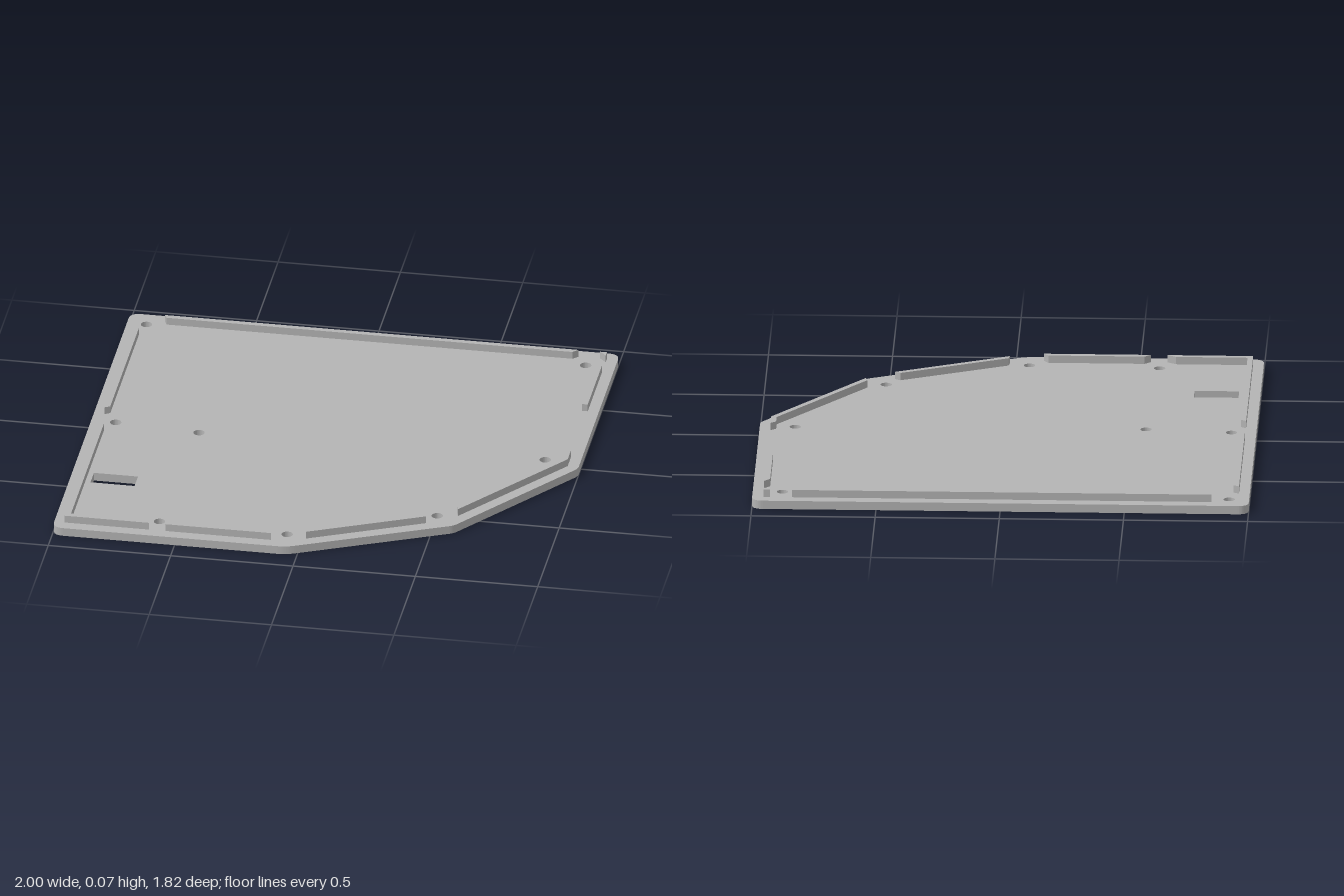
import * as THREE from 'three';

const PLATE_TOP = 0.035;
const RIB_TOP = 0.066;

// Plan shape from [x, z, cornerRadius] points
function roundedShape(points) {
  const shape = new THREE.Shape();
  const n = points.length;
  points.forEach(([x, z, r], i) => {
    const corner = new THREE.Vector2(x, z);
    const toward = (j) => {
      const other = new THREE.Vector2(points[j][0], points[j][1]);
      return other.sub(corner).normalize().multiplyScalar(r).add(corner);
    };
    const a = toward((i + n - 1) % n);
    const b = toward((i + 1) % n);
    if (i === 0) shape.moveTo(a.x, a.y);
    else shape.lineTo(a.x, a.y);
    shape.quadraticCurveTo(x, z, b.x, b.y);
  });
  shape.closePath();
  return shape;
}

// Extrude a plan shape (x, z) between two heights
function slab(shape, bottom, top) {
  const geometry = new THREE.ExtrudeGeometry(shape, {
    depth: top - bottom, bevelEnabled: false, curveSegments: 12,
  });
  geometry.rotateX(Math.PI / 2);
  geometry.translate(0, top, 0);
  return geometry;
}

const polygon = (pts) => new THREE.Shape(pts.map(([x, z]) => new THREE.Vector2(x, z)));

export function createModel() {
  const group = new THREE.Group();
  const grey = new THREE.MeshStandardMaterial({ color: 0xb4b4b4 });
  grey.name = 'plain grey';

  const add = (name, geometry) => {
    const mesh = new THREE.Mesh(geometry, grey);
    mesh.name = name;
    group.add(mesh);
  };

  // Base plate with two clipped sides
  const plate = roundedShape([
    [-1, -0.912, 0.045], [1, -0.912, 0.045], [1, 0.06, 0.02],
    [0.59, 0.617, 0.02], [-0.045, 0.91, 0.04], [-1, 0.91, 0.045],
  ]);

  // Screw holes
  const holes = [
    [-0.92, -0.83], [0.88, -0.798], [-0.9, 0], [-0.555, 0.027],
    [0.857, 0.01], [0.51, 0.547], [-0.058, 0.805], [-0.583, 0.787],
  ];
  for (const [x, z] of holes) {
    plate.holes.push(new THREE.Path().absarc(x, z, 0.023, 0, Math.PI * 2, true));
  }

  // Rectangular slot
  plate.holes.push(new THREE.Path([
    [-0.913, 0.432], [-0.913, 0.512], [-0.733, 0.512], [-0.733, 0.432],
  ].map(([x, z]) => new THREE.Vector2(x, z))));
  add('basePlate', slab(plate, 0, PLATE_TOP));

  // Raised locating ribs just inside the edge, interrupted at the screws
  const ribs = {
    backRib: [[-0.85, -0.865], [0.84, -0.865], [0.818, -0.843], [-0.84, -0.843]],
    backCornerRib: [[0.928, -0.865], [0.955, -0.865], [0.955, -0.837], [0.948, -0.845]],
    rightBackRib: [[-0.957, -0.757], [-0.935, -0.745], [-0.935, -0.073], [-0.957, -0.06]],
    rightFrontRib: [
      [-0.957, 0.055], [-0.935, 0.07], [-0.935, 0.84],
      [-0.647, 0.84], [-0.612, 0.862], [-0.957, 0.862],
    ],
    frontRib: [[-0.545, 0.862], [-0.52, 0.84], [-0.133, 0.84], [-0.115, 0.862]],
    frontDiagonalRib: [[0.022, 0.827], [0.026, 0.8], [0.455, 0.602], [0.476, 0.616]],
    leftDiagonalRib: [
      [0.592, 0.535], [0.584, 0.508], [0.933, 0.038],
      [0.933, -0.018], [0.955, -0.035], [0.955, 0.046],
    ],
    leftBackRib: [[0.955, -0.757], [0.955, -0.42], [0.932, -0.42], [0.932, -0.73]],
  };
  for (const [name, pts] of Object.entries(ribs)) {
    add(name, slab(polygon(pts), PLATE_TOP - 0.005, RIB_TOP));
  }

  return group;
}
